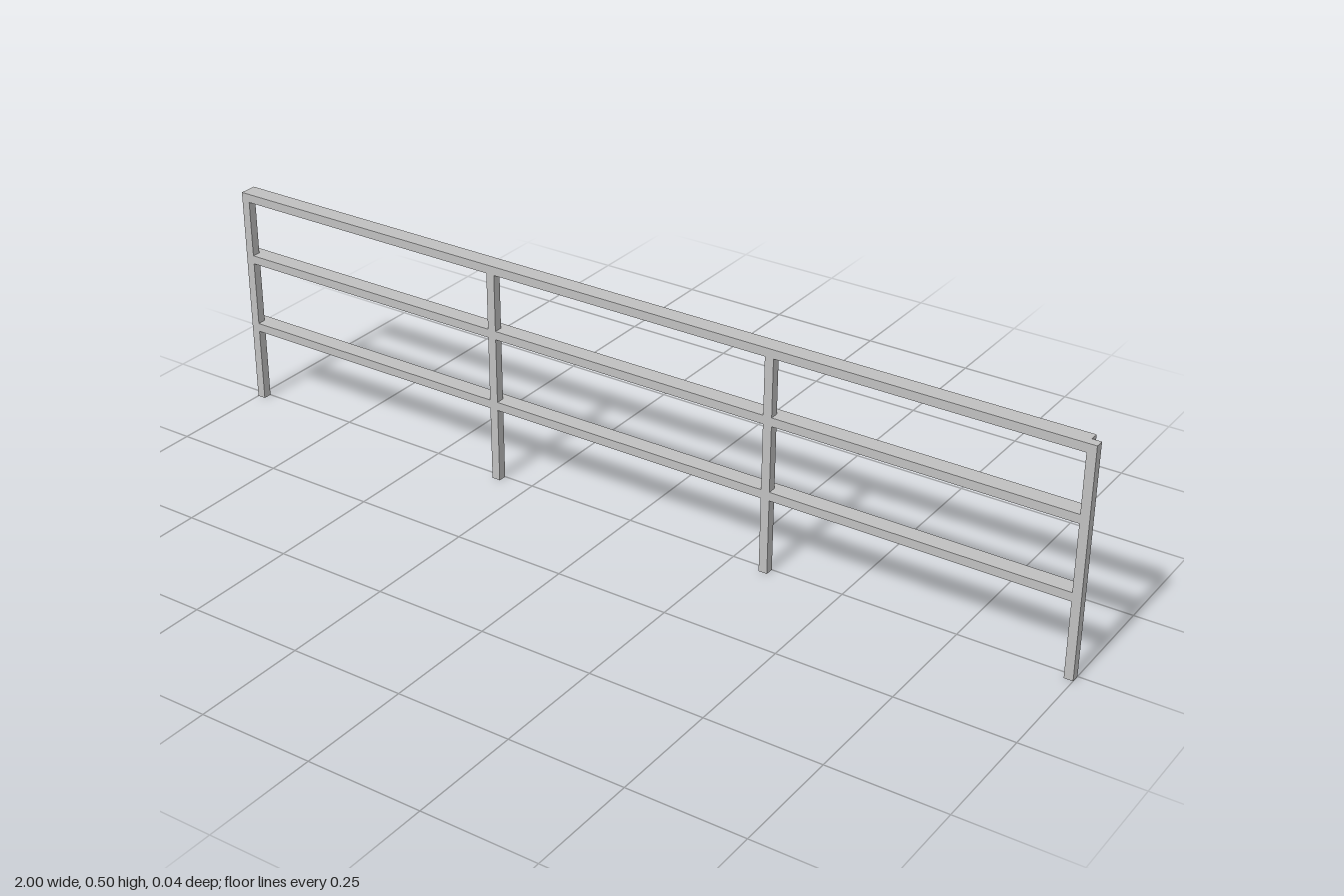
import * as THREE from 'three';

export function createModel() {
  const group = new THREE.Group();
  const grey = new THREE.MeshStandardMaterial({ color: 0xc0c0c0 });
  grey.name = 'grey';

  const T = 0.019; // thickness of posts and rails
  const H = 0.495; // overall height

  // box given by its minimum and maximum corners
  function bar(name, [x0, y0, z0], [x1, y1, z1]) {
    const mesh = new THREE.Mesh(new THREE.BoxGeometry(x1 - x0, y1 - y0, z1 - z0), grey);
    mesh.position.set((x0 + x1) / 2, (y0 + y1) / 2, (z0 + z1) / 2);
    mesh.name = name;
    group.add(mesh);
  }

  // four posts along the front half; the last one stands past the rail ends
  for (let i = 0; i < 4; i++) {
    const x = -1 + i * (2 - T) / 3;
    const top = i === 3 ? H : H - T;
    bar('post' + (i + 1), [x, 0, 0], [x + T, top, T]);
  }

  // three flat rails, twice as deep as the posts
  const rails = { lowerRail: 0.167, middleRail: 0.331, topRail: H - T };
  for (const [name, y] of Object.entries(rails)) {
    bar(name, [-1, y, -T], [1 - T, y + T, T]);
  }

  return group;
}
